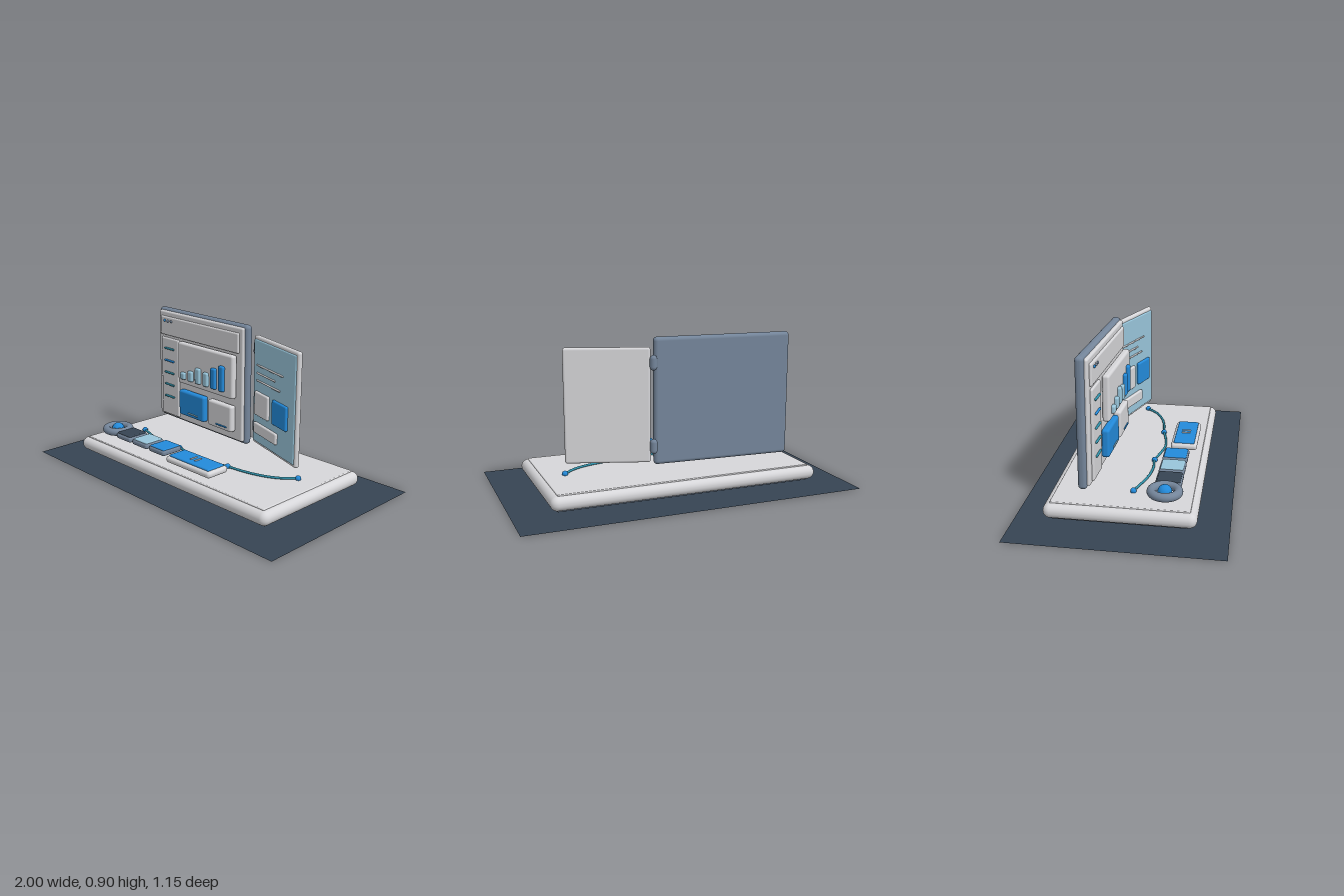
import * as THREE from 'three';
import { RoundedBoxGeometry } from 'three/addons/geometries/RoundedBoxGeometry.js';

const mat = (name, color) => new THREE.MeshStandardMaterial({ name, color });
const light = mat('light grey', 0xd6d6d9);
const slate = mat('slate', 0x74859a);
const navy = mat('dark navy', 0x364453);
const blue = mat('bright blue', 0x238ada);
const pale = mat('pale blue', 0x98c5da);
const teal = mat('teal', 0x2f8ea6);
navy.side = THREE.DoubleSide;

function add(parent, name, geometry, material, x = 0, y = 0, z = 0) {
  const mesh = new THREE.Mesh(geometry, material);
  mesh.name = name;
  mesh.position.set(x, y, z);
  parent.add(mesh);
  return mesh;
}

// Rounded block given by its extents on each axis
function block(parent, name, material, [x0, x1], [y0, y1], [z0, z1], radius = 0.01) {
  const w = x1 - x0, h = y1 - y0, d = z1 - z0;
  const r = Math.min(radius, w * 0.49, h * 0.49, d * 0.49);
  return add(parent, name, new RoundedBoxGeometry(w, h, d, 4, r), material,
    (x0 + x1) / 2, (y0 + y1) / 2, (z0 + z1) / 2);
}

function subgroup(parent, name, x, z, angle) {
  const g = new THREE.Group();
  g.name = name;
  g.position.set(x, 0, z);
  g.rotation.y = angle;
  parent.add(g);
  return g;
}

function buildMainScreen(root) {
  const cx = -0.275;
  const g = subgroup(root, 'mainScreen', cx, -0.192, -0.05);
  // Front-facing x positions are shifted into the screen's own frame
  const span = (a, b) => [a - cx, b - cx];
  block(g, 'screenFrame', slate, [-0.418, 0.418], [0.165, 0.9], [-0.025, 0.025], 0.022);
  block(g, 'screenFace', light, [-0.4, 0.4], [0.182, 0.885], [0.01, 0.042], 0.012);
  block(g, 'headerBar', light, span(-0.645, 0.097), [0.73, 0.853], [0.035, 0.055]);
  block(g, 'sidebar', light, span(-0.638, -0.465), [0.195, 0.714], [0.035, 0.055]);

  // Header dots
  [-0.597, -0.564, -0.531].forEach((x, i) =>
    add(g, 'headerDot', new THREE.SphereGeometry(0.009, 16, 12), i ? slate : blue, x - cx, 0.826, 0.056));

  // Sidebar entries
  [pale, blue, pale, pale, blue].forEach((m, i) => {
    const y = 0.645 - i * 0.0805;
    block(g, 'sidebarEntry', i === 1 ? blue : teal, span(-0.6, -0.505), [y - 0.006, y + 0.006], [0.05, 0.066], 0.006);
  });

  // Chart panel with rising bars
  block(g, 'chartPanel', light, span(-0.427, 0.087), [0.452, 0.72], [0.048, 0.09], 0.015);
  [0.045, 0.067, 0.1, 0.088, 0.13, 0.158].forEach((h, i) => {
    const x = -0.363 + i * 0.0727;
    block(g, 'chartBar', i < 4 ? pale : blue, span(x - 0.022, x + 0.022), [0.487, 0.487 + h], [0.083, 0.11]);
  });

  // Lower cards
  block(g, 'blueCard', blue, span(-0.427, -0.182), [0.238, 0.404], [0.04, 0.085], 0.015);
  block(g, 'blueCardLine', pale, span(-0.332, -0.237), [0.261, 0.269], [0.08, 0.092], 0.004);
  block(g, 'lightCard', light, span(-0.143, 0.071), [0.238, 0.404], [0.04, 0.085], 0.015);
  block(g, 'lightCardLine', blue, span(-0.063, 0.035), [0.261, 0.269], [0.08, 0.092], 0.004);
}

function buildSideScreen(root) {
  const g = subgroup(root, 'sideScreen', 0.4, -0.12, -0.32);
  block(g, 'sideFrame', light, [-0.243, 0.243], [0.188, 0.848], [-0.016, 0.016], 0.014);
  block(g, 'sideFace', pale, [-0.228, 0.23], [0.206, 0.828], [0.008, 0.024], 0.007);
  [[0.682, 0.108], [0.634, 0.024], [0.59, 0.08]].forEach(([y, end]) =>
    block(g, 'textLine', light, [-0.184, end], [y - 0.005, y + 0.005], [0.02, 0.032], 0.005));
  block(g, 'lightTile', light, [-0.19, -0.033], [0.382, 0.527], [0.02, 0.042], 0.01);
  block(g, 'blueTile', blue, [0.013, 0.169], [0.382, 0.527], [0.02, 0.042], 0.01);
  block(g, 'sideButton', light, [-0.196, 0.063], [0.268, 0.336], [0.02, 0.042], 0.01);
}

function buildControls(root) {
  // Dial: ring around a ball
  const ring = add(root, 'dialRing', new THREE.TorusGeometry(0.073, 0.024, 20, 48), slate, -0.64, 0.167, 0.222);
  ring.rotation.x = Math.PI / 2;
  add(root, 'dialBall', new THREE.SphereGeometry(0.039, 28, 20), blue, -0.64, 0.166, 0.222);

  // Three square keys
  [navy, pale, blue].forEach((m, i) => {
    const x = -0.49 + i * 0.159;
    block(root, 'keyBody', slate, [x - 0.07, x + 0.07], [0.142, 0.177], [0.156, 0.302], 0.014);
    block(root, 'keyCap', m, [x - 0.062, x + 0.062], [0.168, 0.183], [0.164, 0.294], 0.007);
  });

  // Wide button with two upright marks
  block(root, 'wideButtonBody', light, [-0.043, 0.321], [0.138, 0.177], [0.182, 0.338], 0.018);
  block(root, 'wideButtonCap', blue, [-0.026, 0.301], [0.168, 0.187], [0.198, 0.322], 0.008);
  [0.117, 0.154].forEach(x =>
    block(root, 'pauseMark', light, [x - 0.007, x + 0.007], [0.182, 0.191], [0.234, 0.286], 0.004));
}

function buildCable(root) {
  const y = 0.129;
  const path = [[-0.585, 0.045], [-0.4, 0.1], [-0.28, 0.112], [-0.18, 0.105], [-0.08, 0.126], [0.03, 0.143],
    [0.14, 0.131], [0.24, 0.108], [0.36, 0.093], [0.47, 0.065], [0.56, 0.02], [0.635, -0.05]];
  const curve = new THREE.CatmullRomCurve3(path.map(([x, z]) => new THREE.Vector3(x, y, z)));
  add(root, 'cable', new THREE.TubeGeometry(curve, 90, 0.007, 10), teal);
  [0, 3, 7, 11].forEach(i =>
    add(root, 'cableNode', new THREE.SphereGeometry(0.017, 20, 14), blue, path[i][0], y, path[i][1]));
}

export function createModel() {
  const root = new THREE.Group();
  root.name = 'dashboardDesk';

  // Ground sheet
  const sheet = add(root, 'groundSheet', new THREE.PlaneGeometry(2, 1.15), navy);
  sheet.rotation.x = -Math.PI / 2;

  // Base slab with foot and top inlay
  block(root, 'baseFoot', slate, [-0.765, 0.765], [0.02, 0.06], [-0.37, 0.365], 0.012);
  block(root, 'baseSlab', light, [-0.8, 0.8], [0.032, 0.114], [-0.41, 0.406], 0.04);
  block(root, 'baseInlay', light, [-0.76, 0.76], [0.1, 0.121], [-0.375, 0.37], 0.005);

  buildMainScreen(root);
  buildSideScreen(root);

  // Hinges between the screens
  [0.283, 0.762].forEach(y =>
    add(root, 'hinge', new THREE.CapsuleGeometry(0.021, 0.045, 8, 20), slate, 0.158, y, -0.216));

  buildControls(root);
  buildCable(root);
  return root;
}
